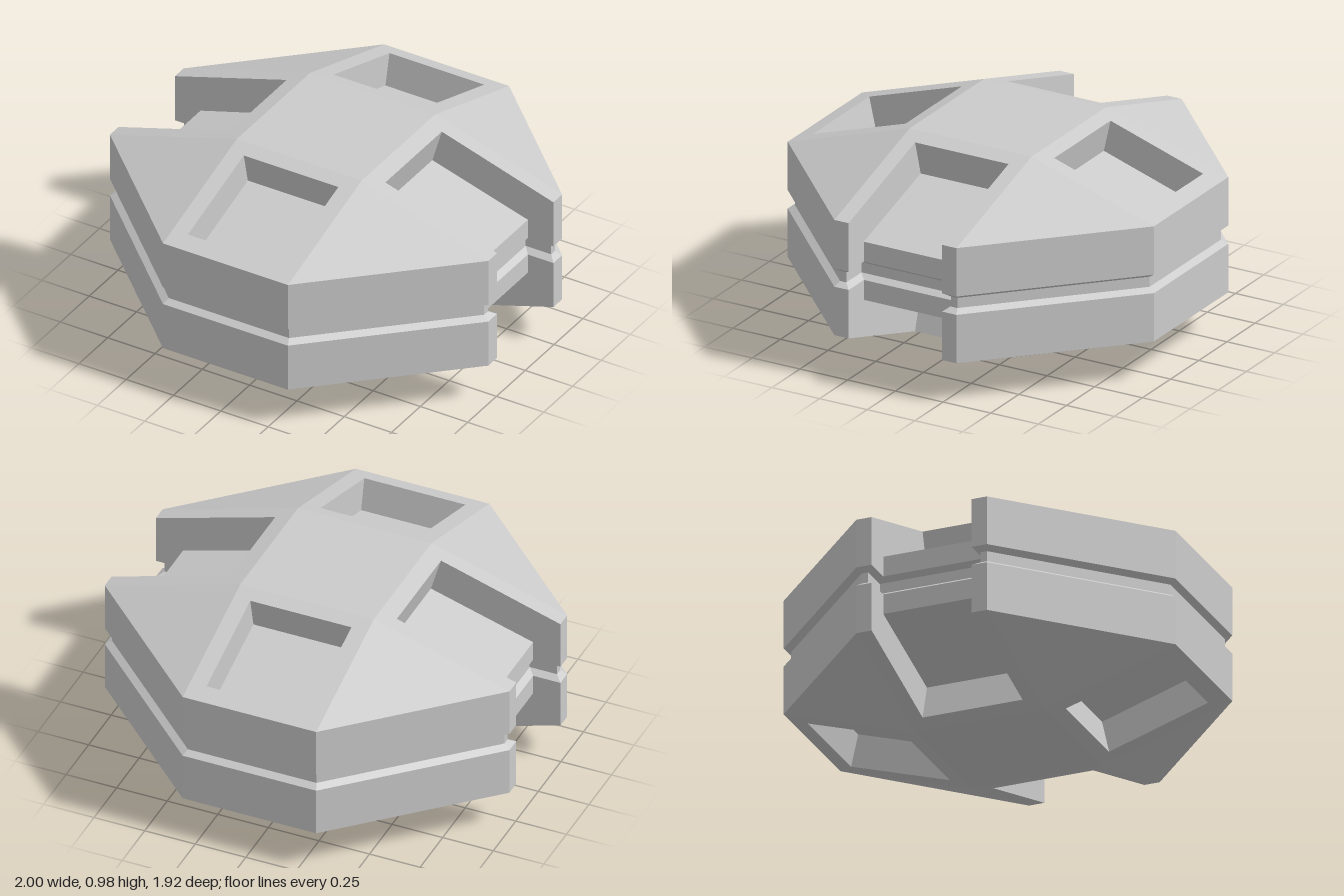
import * as THREE from 'three';

const H = 0.4875;              // half height of the body
const E = 0.2825;              // eave height above the mid plane
const X = 1, Z = 0.96;         // half width and half depth
const PX = 0.33, PZ = 0.32;    // half size of the flat top

// Roof heights on the side and front slopes
const sideY = x => H - (H - E) * (x - PX) / (X - PX);
const frontY = z => H - (H - E) * (z - PZ) / (Z - PZ);

// Builds one mesh from faces described in a single octant and mirrored eight ways.
// Each face is [outward hint, corner, corner, corner, ...] and is fanned from its first corner.
function mirroredMesh(name, faces) {
  const positions = [];
  const ab = new THREE.Vector3(), ac = new THREE.Vector3();
  for (const [hint, ...corners] of faces) {
    const pts = corners.map(c => new THREE.Vector3(...c));
    ab.subVectors(pts[1], pts[0]);
    ac.subVectors(pts[2], pts[0]);
    if (ab.cross(ac).dot(new THREE.Vector3(...hint)) < 0) pts.reverse().unshift(pts.pop());
    for (const sx of [1, -1]) for (const sy of [1, -1]) for (const sz of [1, -1]) {
      const flip = sx * sy * sz < 0;
      for (let i = 1; i < pts.length - 1; i++) {
        const tri = flip ? [pts[0], pts[i + 1], pts[i]] : [pts[0], pts[i], pts[i + 1]];
        for (const p of tri) positions.push(p.x * sx, p.y * sy + H, p.z * sz);
      }
    }
  }
  const geometry = new THREE.BufferGeometry();
  geometry.setAttribute('position', new THREE.Float32BufferAttribute(positions, 3));
  geometry.computeVertexNormals();
  const mesh = new THREE.Mesh(geometry, new THREE.MeshStandardMaterial({ color: 0xcccccc }));
  mesh.name = name;
  return mesh;
}

// Rectangles lying on the two kinds of slope
const up = [0, 1, 0];
const onSide = (x0, x1, z0, z1) => [up,
  [x0, sideY(x0), z0], [x0, sideY(x0), z1], [x1, sideY(x1), z1], [x1, sideY(x1), z0]];
const onFront = (x0, x1, z0, z1) => [up,
  [x0, frontY(z0), z0], [x0, frontY(z1), z1], [x1, frontY(z1), z1], [x1, frontY(z0), z0]];

export function createModel() {
  const group = new THREE.Group();
  group.name = 'octagonalBody';

  // Plan outline (x, z) of a quarter, and the same outline inset for the groove
  const SW = 0.245, SX = 0.865;
  const outer = [[0, Z], [PX, Z], [X, PZ], [X, SW], [SX, SW], [SX, 0]];
  const inset = [[0, 0.93], [0.3175, 0.93], [0.97, 0.3075], [0.97, 0.275], [0.835, 0.275], [0.835, 0]];
  const slotEdge = 0.1425;
  const walls = [], groove = [];
  for (let i = 0; i < 5; i++) {
    const hint = [outer[i][1] - outer[i + 1][1], 0, outer[i + 1][0] - outer[i][0]];
    const band = (ringA, ya, ringB, yb) => [hint,
      [ringA[i][0], ya, ringA[i][1]], [ringA[i + 1][0], ya, ringA[i + 1][1]],
      [ringB[i + 1][0], yb, ringB[i + 1][1]], [ringB[i][0], yb, ringB[i][1]]];
    groove.push(band(inset, 0, inset, 0.025), band(inset, 0.025, outer, 0.045));
    if (i !== 3) walls.push(band(outer, 0.045, outer, i === 4 ? slotEdge : E));
  }
  group.add(mirroredMesh('outerWalls', walls), mirroredMesh('middleGroove', groove));

  // Flat top, corner triangles and slopes around the openings
  const slotTop = 0.41, RX = 0.25, R0 = 0.39, R1 = 0.875;
  group.add(mirroredMesh('slopedShell', [
    [up, [0, H, 0], [0, H, PZ], [PX, H, PZ], [PX, H, 0]],
    [up, [PX, H, PZ], [PX, E, Z], [X, E, PZ]],
    onSide(PX, X, SW, PZ),
    onSide(PX, slotTop, 0, SW),
    onFront(RX, PX, PZ, Z),
    onFront(0, RX, PZ, R0),
    onFront(0, RX, R1, Z),
  ]));

  // Side slots: undercut upper wall, sloping floor and cheeks, open to the outside
  const inX = 0.36, inY = 0.2925, topY = sideY(slotTop);
  group.add(mirroredMesh('sideSlots', [
    [up, [inX, inY, 0], [inX, inY, SW], [SX, slotEdge, SW], [SX, slotEdge, 0]],
    [[1, 0, 0], [slotTop, topY, 0], [slotTop, topY, SW], [inX, inY, SW], [inX, inY, 0]],
    [[0, 0, -1], [SX, slotEdge, SW], [SX, 0.045, SW], [X, 0.045, SW],
      [X, E, SW], [slotTop, topY, SW], [inX, inY, SW]],
  ]));

  // Front and back pockets, sunk square to the slope
  const drop = 0.155, shift = 0.035;
  const [y0, y1, f0, f1] = [frontY(R0), frontY(R1), R0 - shift, R1 - shift];
  group.add(mirroredMesh('frontAndBackPockets', [
    [up, [0, y0 - drop, f0], [0, y1 - drop, f1], [RX, y1 - drop, f1], [RX, y0 - drop, f0]],
    [[0, 0, 1], [0, y0, R0], [RX, y0, R0], [RX, y0 - drop, f0], [0, y0 - drop, f0]],
    [[0, 0, -1], [0, y1, R1], [RX, y1, R1], [RX, y1 - drop, f1], [0, y1 - drop, f1]],
    [[-1, 0, 0], [RX, y0, R0], [RX, y1, R1], [RX, y1 - drop, f1], [RX, y0 - drop, f0]],
  ]));

  return group;
}
